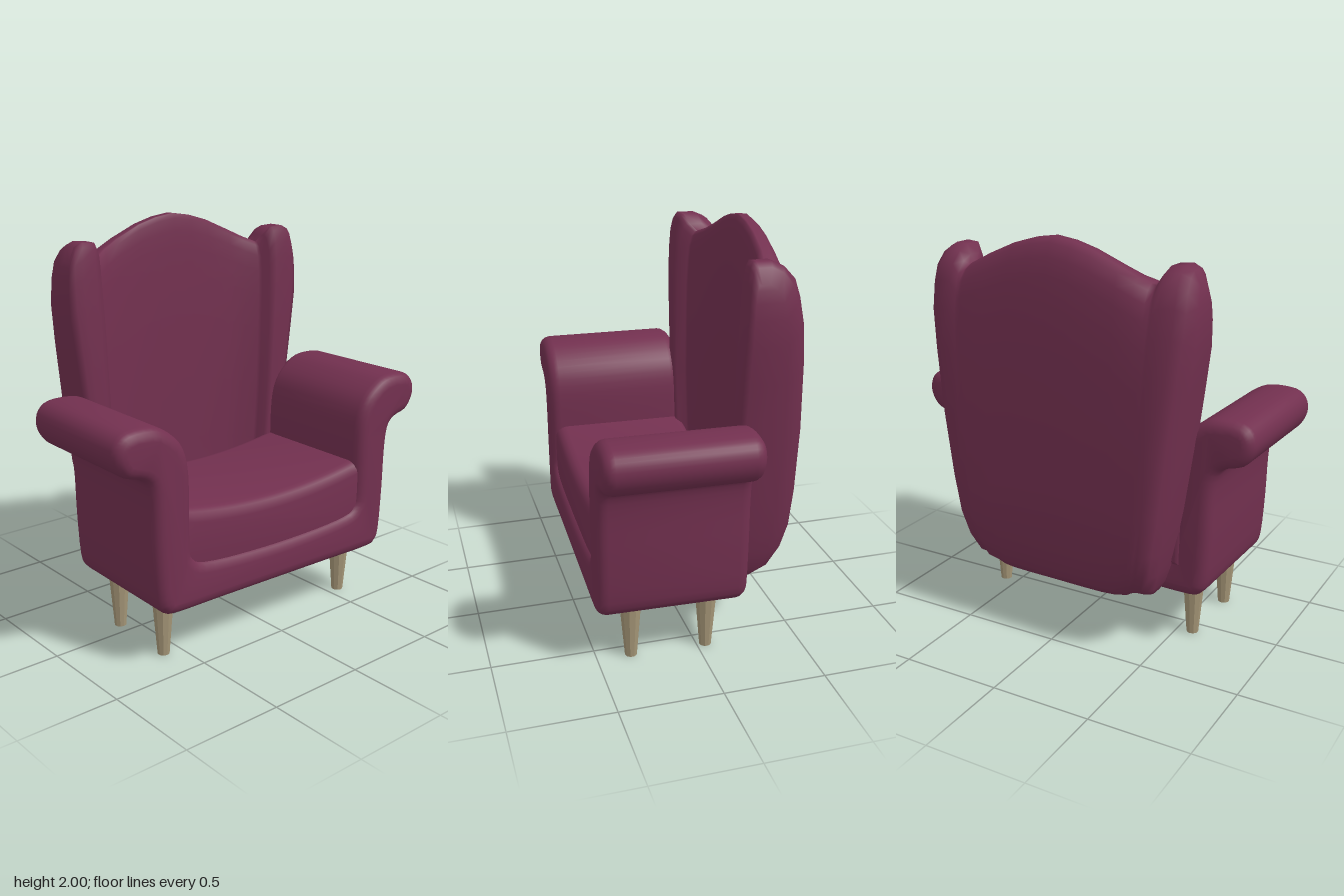
import * as THREE from 'three';
import { toCreasedNormals } from 'three/addons/utils/BufferGeometryUtils.js';

const fabric = new THREE.MeshStandardMaterial({ color: 0x72304f });
fabric.name = 'plumFabric';
const wood = new THREE.MeshStandardMaterial({ color: 0xa59677 });
wood.name = 'paleWood';

function addMesh(parent, name, geometry, material) {
  const mesh = new THREE.Mesh(geometry, material);
  mesh.name = name;
  parent.add(mesh);
  return mesh;
}

// Extrudes a front outline from z = back to z = front with rounded edges
function paddedExtrude(shape, back, front, bevel) {
  const geometry = new THREE.ExtrudeGeometry(shape, {
    depth: front - back - 2 * bevel, bevelEnabled: true, bevelThickness: bevel,
    bevelSize: bevel, bevelOffset: -bevel, bevelSegments: 4, curveSegments: 24,
  });
  geometry.translate(0, 0, back + bevel);
  return toCreasedNormals(geometry, 0.7);
}

// Base and both rolled arms: one U-shaped outline
function frameGeometry() {
  const half = [
    [0.35, 0.28], [0.62, 0.28], [0.685, 0.305], [0.715, 0.37], [0.73, 0.6], [0.735, 0.8],
    [0.75, 0.92], [0.79, 0.965], [0.87, 0.99], [0.915, 1.04], [0.932, 1.1], [0.915, 1.16],
    [0.86, 1.197], [0.74, 1.2], [0.66, 1.17], [0.58, 1.1], [0.54, 1.0], [0.53, 0.85],
    [0.53, 0.6], [0.515, 0.535], [0.45, 0.505], [0.25, 0.487],
  ];
  const right = half.map(([x, y]) => new THREE.Vector2(x, y));
  const left = half.map(([x, y]) => new THREE.Vector2(-x, y)).reverse();
  const start = new THREE.Vector2(0, 0.28);
  const outline = new THREE.SplineCurve([start, ...right, new THREE.Vector2(0, 0.48), ...left, start]);
  const shape = new THREE.Shape(outline.getPoints(138).slice(0, -1));
  return paddedExtrude(shape, -0.235, 0.5, 0.055);
}

// Seat cushion: dished top, sides tucked into the arms
function cushionGeometry() {
  const shape = new THREE.Shape();
  shape.moveTo(-0.6, 0.42);
  shape.lineTo(0.6, 0.42);
  shape.lineTo(0.6, 0.785);
  shape.quadraticCurveTo(0, 0.655, -0.6, 0.785);
  return paddedExtrude(shape, -0.25, 0.475, 0.06);
}

// Winged back: horizontal sections stacked upwards, pinched shut at both ends
function backGeometry() {
  // across the width: [u, front z, back z, pinch z, top height]
  const wing = 0.75;
  const half = [
    [0, -0.34, -0.51, -0.38, 2.0], [0.15, -0.34, -0.51, -0.38, 1.985],
    [0.3, -0.338, -0.51, -0.38, 1.955], [0.5, -0.32, -0.51, -0.375, 1.895],
    [0.62, -0.29, -0.51, -0.36, 1.855], [0.7, -0.255, -0.51, -0.33, 1.83],
    [0.73, -0.25, -0.51, -0.32, 1.82], [wing, -0.205, -0.51, -0.28, 1.86],
    [0.8, -0.195, -0.51, -0.255, 1.905], [0.9, -0.195, -0.505, -0.25, 1.91],
    [0.96, -0.198, -0.475, -0.25, 1.89], [1, -0.215, -0.4, -0.26, 1.82],
  ];
  const full = [...half.slice(1).reverse().map(([u, ...r]) => [-u, ...r]), ...half];
  // up the height: [fraction, half width, panel width, thickness factor, shift in z]
  const levels = [
    [0, 0.47, 0.5, 0, 0.0], [0.01, 0.485, 0.52, 0.35, 0.0], [0.04, 0.51, 0.55, 0.65, 0.0],
    [0.1, 0.54, 0.6, 0.82, 0.0], [0.18, 0.565, 0.635, 0.92, -0.005], [0.3, 0.6, 0.66, 0.96, -0.005],
    [0.5, 0.645, 0.675, 1, 0], [0.7, 0.685, 0.69, 0.96, 0], [0.82, 0.708, 0.7, 0.9, 0],
    [0.9, 0.71, 0.705, 0.8, 0], [0.95, 0.705, 0.705, 0.7, 0], [0.985, 0.695, 0.7, 0.5, 0],
    [1, 0.685, 0.695, 0.28, 0], [1, 0.685, 0.695, 0, 0],
  ];
  const positions = [], index = [], n = full.length * 2;
  levels.forEach(([t, width, panel, s, shift], row) => {
    const put = ([u, , , mid, top], z) => {
      const inner = Math.min(Math.abs(u), wing) / wing;
      const outer = Math.max(Math.abs(u) - wing, 0) / (1 - wing);
      const edge = Math.min(wing * panel, width * 0.88);
      const x = Math.sign(u) * (inner * edge + outer * (width - edge));
      positions.push(x, 0.28 + t * (top - 0.28), mid + (z - mid) * s + shift);
    };
    full.forEach((c) => put(c, c[1]));
    [...full].reverse().forEach((c) => put(c, c[2]));
    if (row === 0) return;
    for (let i = 0; i < n; i++) {
      const a = (row - 1) * n + i, b = (row - 1) * n + ((i + 1) % n);
      index.push(a, b, b + n, a, b + n, a + n);
    }
  });
  const geometry = new THREE.BufferGeometry();
  geometry.setAttribute('position', new THREE.Float32BufferAttribute(positions, 3));
  geometry.setIndex(index);
  geometry.computeVertexNormals();
  return geometry;
}

export function createModel() {
  const model = new THREE.Group();
  model.name = 'wingArmchair';

  // The chair stands turned very slightly on the floor
  const chair = new THREE.Group();
  chair.name = 'chair';
  chair.rotation.y = -0.027;
  model.add(chair);

  addMesh(chair, 'baseAndArms', frameGeometry(), fabric);
  addMesh(chair, 'seatCushion', cushionGeometry(), fabric);
  addMesh(chair, 'wingedBack', backGeometry(), fabric);

  // Tapered, faceted legs
  const legGeometry = toCreasedNormals(new THREE.CylinderGeometry(0.055, 0.03, 0.3, 10), 0.3);
  for (const [side, x] of [['left', 0.58], ['right', -0.58]]) {
    for (const [end, z] of [['Front', 0.315], ['Back', -0.06]]) {
      addMesh(chair, side + end + 'Leg', legGeometry, wood).position.set(x, 0.15, z);
    }
  }
  return model;
}
